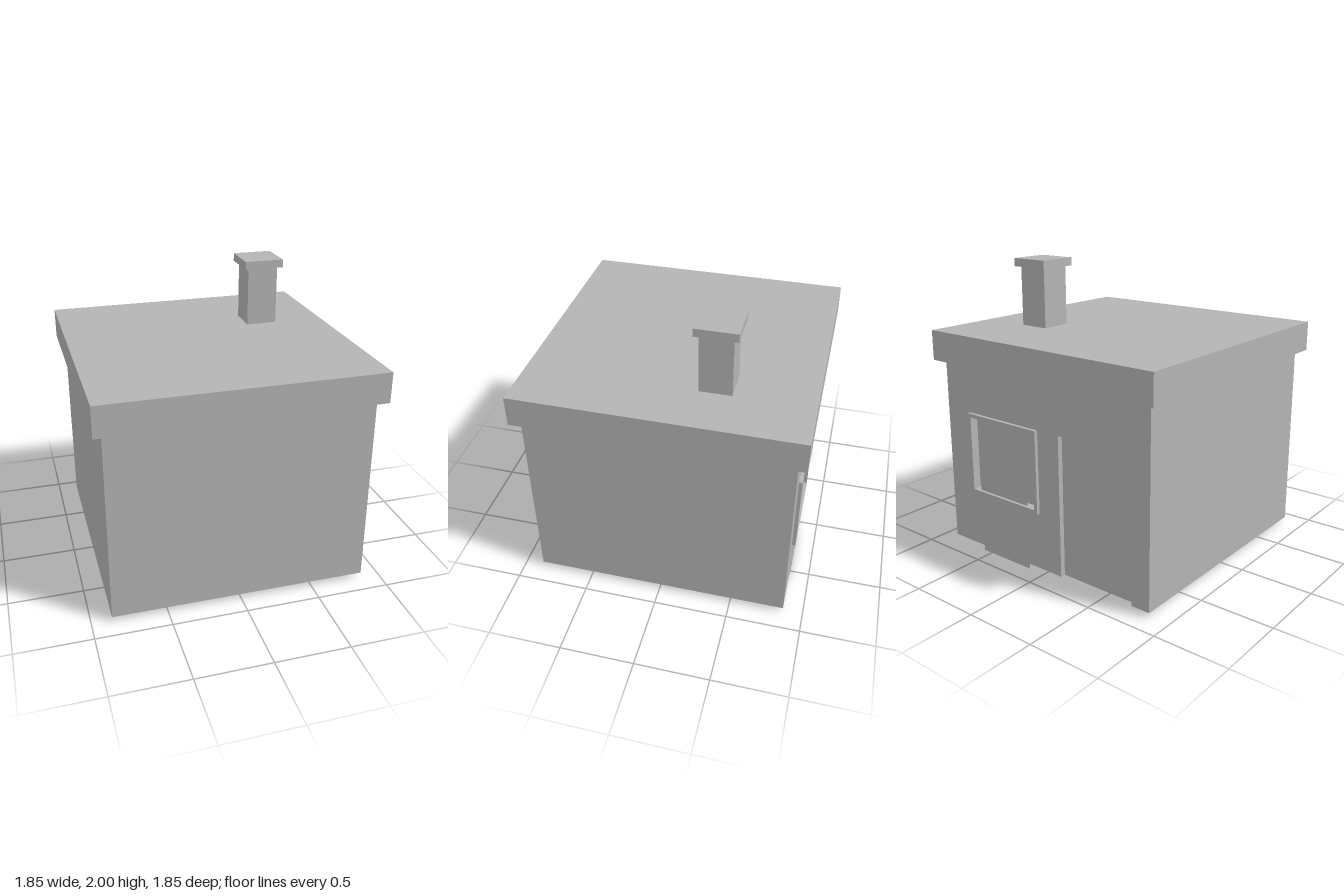
import * as THREE from 'three';

const grey = new THREE.MeshStandardMaterial({ color: 0xb4b4b4, side: THREE.DoubleSide });
grey.name = 'plain grey';

// Adds a box given by its lower and upper corners
function addBox(group, name, [x0, y0, z0], [x1, y1, z1]) {
  const geometry = new THREE.BoxGeometry(x1 - x0, y1 - y0, z1 - z0);
  geometry.translate((x0 + x1) / 2, (y0 + y1) / 2, (z0 + z1) / 2);
  const mesh = new THREE.Mesh(geometry, grey);
  mesh.name = name;
  group.add(mesh);
}

function rectangle(Type, x0, y0, x1, y1) {
  return new Type([[x0, y0], [x1, y0], [x1, y1], [x0, y1]].map(p => new THREE.Vector2(...p)));
}

// Extrudes an outline in the xy plane from z0 to z1
function addSlab(group, name, shape, z0, z1) {
  const geometry = new THREE.ExtrudeGeometry(shape, { depth: z1 - z0, bevelEnabled: false });
  geometry.translate(0, 0, z0);
  const mesh = new THREE.Mesh(geometry, grey);
  mesh.name = name;
  group.add(mesh);
}

export function createModel() {
  const house = new THREE.Group();
  house.name = 'house';

  const wall = 0.867, base = 0.035, eaves = 1.335, recess = -0.832;
  const win = { x0: 0.022, y0: 0.43, x1: 0.65, y1: 1.0 };
  const door = { x0: -0.735, x1: -0.156, top: 1.0 };
  const rim = 0.026;

  // Body; its back face forms the door leaf and window pane
  addBox(house, 'body', [-wall, base, recess], [wall, eaves, wall]);

  // Back wall layer with a door notch and a window hole
  const facade = new THREE.Shape([
    [-wall, base], [door.x0, base], [door.x0, door.top], [door.x1, door.top],
    [door.x1, base], [wall, base], [wall, eaves], [-wall, eaves],
  ].map(p => new THREE.Vector2(...p)));
  const opening = () => rectangle(THREE.Path, win.x0 + rim, win.y0 + rim, win.x1 - rim, win.y1 - rim);
  facade.holes.push(opening());
  addSlab(house, 'backWall', facade, -wall, recess);

  // Raised window frame
  const frame = rectangle(THREE.Shape, win.x0, win.y0, win.x1, win.y1);
  frame.holes.push(opening());
  addSlab(house, 'windowFrame', frame, -0.89, -wall);

  // Flat sheet standing against the back wall
  const sheet = new THREE.Mesh(new THREE.PlaneGeometry(0.445, 0.7), grey);
  sheet.name = 'wallSheet';
  sheet.rotation.y = Math.PI;
  sheet.position.set(0.35, 0.35, -0.87);
  house.add(sheet);

  // Flat roof and chimney
  addBox(house, 'roof', [-0.925, eaves, -0.925], [0.925, 1.54, 0.925]);
  addBox(house, 'chimney', [0.365, 1.54, -0.41], [0.577, 1.945, -0.198]);
  addBox(house, 'chimneyCap', [0.335, 1.945, -0.442], [0.607, 2, -0.168]);

  return house;
}
